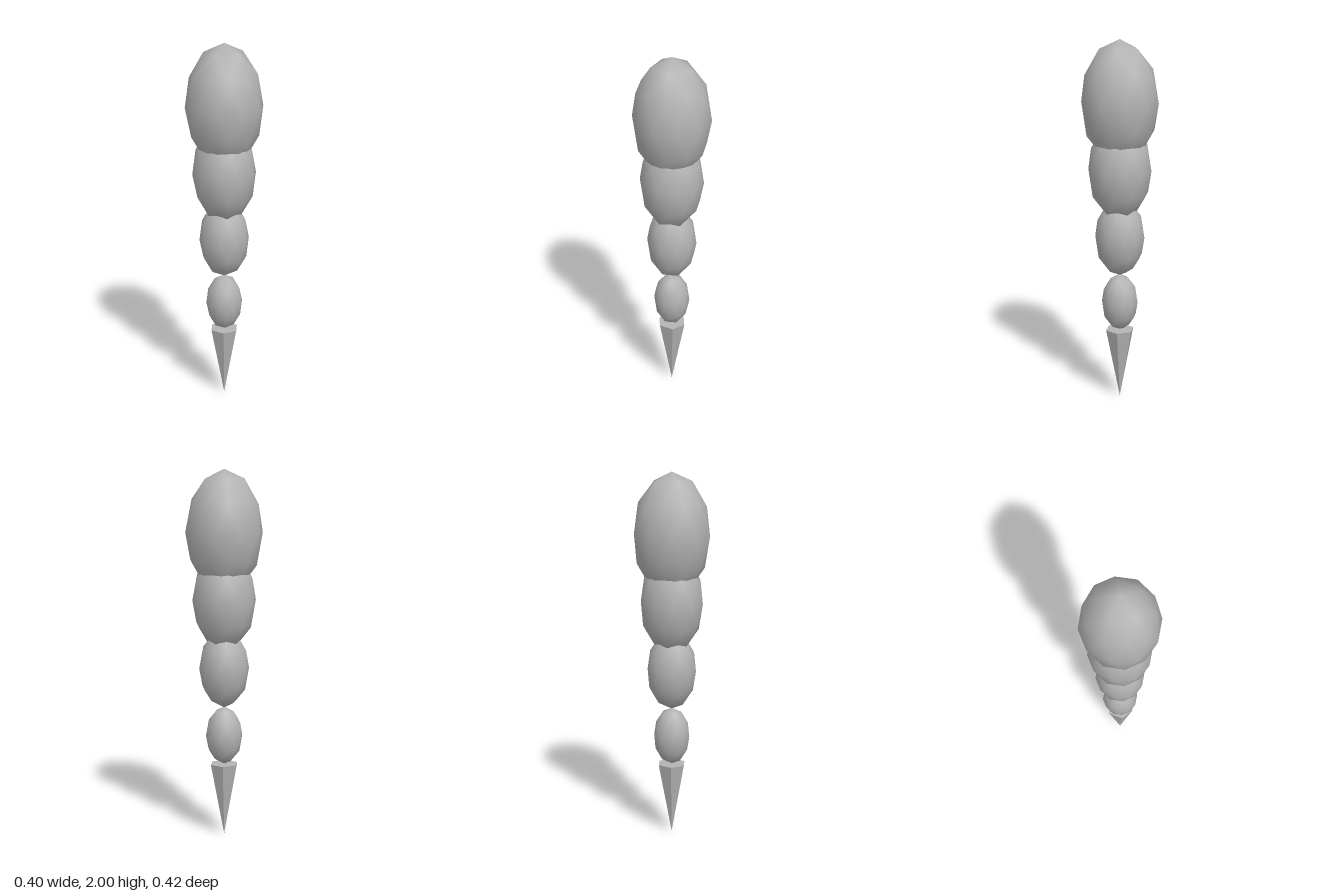
import * as THREE from 'three';

const grey = new THREE.MeshStandardMaterial({ color: 0xb4b4b4 });
grey.name = 'grey';

// Low-poly smooth ball with one corner pointing straight up, stretched along y
function makeBead(radius) {
  const geometry = new THREE.IcosahedronGeometry(1, 1);
  geometry.rotateZ(-Math.atan(2 / (1 + Math.sqrt(5))));
  geometry.scale(radius, radius * 1.6, radius);
  return geometry;
}

// Six-sided spike pointing down, with flat faces
function makeSpike(radius, height) {
  const geometry = new THREE.ConeGeometry(radius, height, 6).toNonIndexed();
  geometry.rotateY(Math.PI / 2);
  geometry.rotateX(Math.PI);
  geometry.computeVertexNormals();
  return geometry;
}

export function createModel() {
  const model = new THREE.Group();
  model.name = 'segmentedTail';

  const add = (name, geometry, y) => {
    const mesh = new THREE.Mesh(geometry, grey);
    mesh.name = name;
    mesh.position.y = y;
    model.add(mesh);
  };

  // Tip
  add('spike', makeSpike(0.08, 0.4), 0.2);

  // Segments grow from the tip to the base: [radius, centre height]
  const segments = [[0.1, 0.56], [0.136, 0.933], [0.172, 1.304], [0.208, 1.667]];
  segments.forEach(([radius, y], i) => add(`segment${i + 1}`, makeBead(radius), y));

  return model;
}
